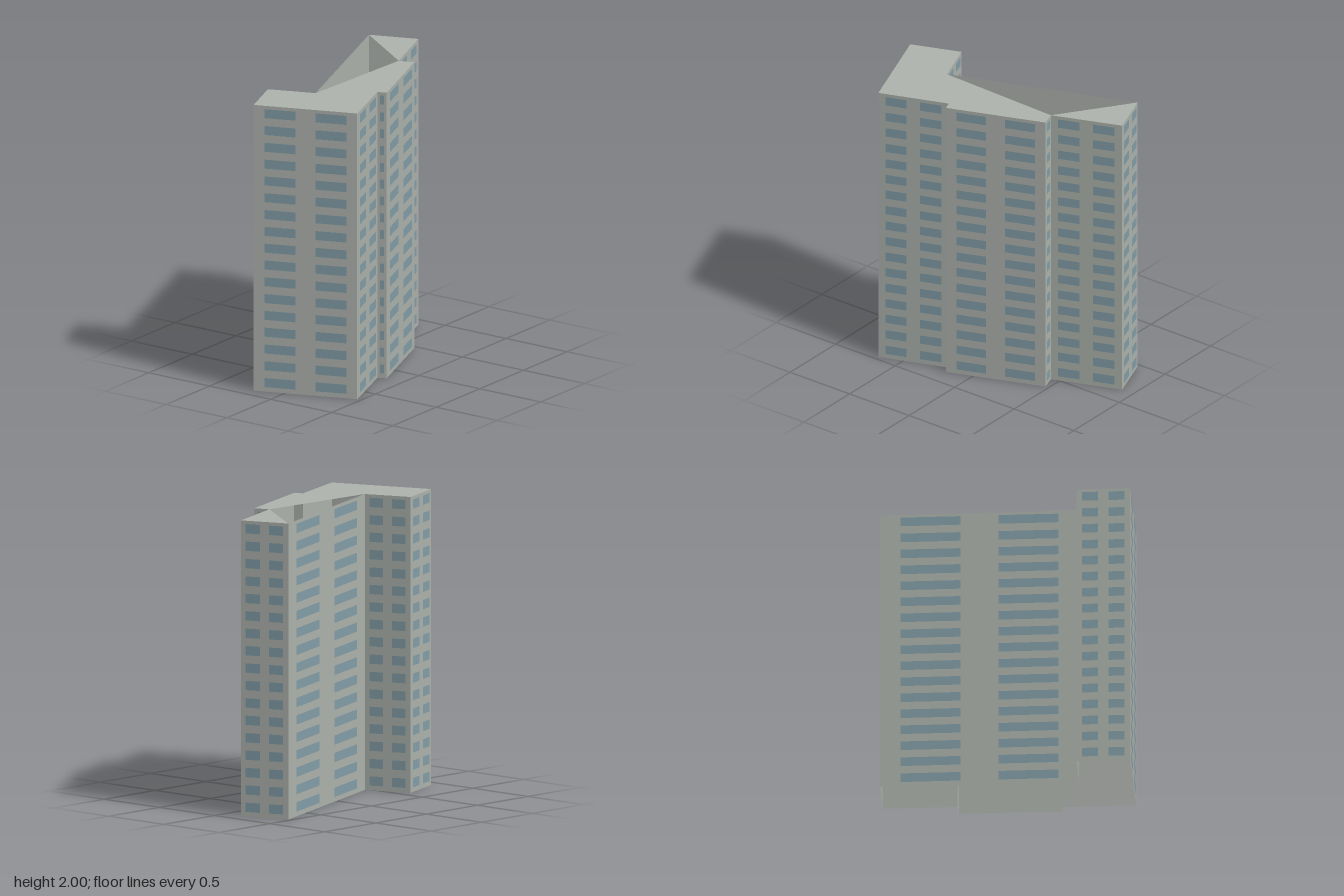
import * as THREE from 'three';
import { mergeGeometries } from 'three/addons/utils/BufferGeometryUtils.js';

const HEIGHT = 2, FLOORS = 17, PITCH = HEIGHT / FLOORS;

// Footprint corners [x, z], running along the front from -x to +x
const corners = [
  [-0.912, -0.202], [-0.664, 0.47], [-0.2, 0.304], [-0.177, 0.363], [0.474, 0.124],
  [0.44, 0.02], [0.907, -0.153], [0.79, -0.475], [-0.46, -0.017], [-0.576, -0.326],
];

// Roof slabs as corner indices; the triangle between them is an open shaft
const roofs = { mainRoof: [0, 1, 2, 3, 4, 5, 8, 9], wingRoof: [5, 6, 7] };

export function createModel() {
  const group = new THREE.Group();
  const wallMat = new THREE.MeshStandardMaterial({ color: 0xafb4ae, side: THREE.DoubleSide });
  wallMat.name = 'concrete';
  const glassMat = new THREE.MeshStandardMaterial({ color: 0x849fa9 });
  glassMat.name = 'window glass';

  // Facades: one upright panel per footprint edge, with columns of windows
  corners.forEach(([x0, z0], i) => {
    const [x1, z1] = corners[(i + 1) % corners.length];
    const length = Math.hypot(x1 - x0, z1 - z0);
    const facade = new THREE.Group();
    facade.name = `facade${i + 1}`;
    facade.position.set((x0 + x1) / 2, 0, (z0 + z1) / 2);
    facade.rotation.y = Math.atan2(z0 - z1, x1 - x0);

    const wall = new THREE.Mesh(new THREE.PlaneGeometry(length, HEIGHT).translate(0, HEIGHT / 2, 0), wallMat);
    wall.name = 'wall';

    // Narrow returns have one window per floor, the rest have two
    const narrow = length < 0.2;
    const columns = narrow ? [0] : [-0.246, 0.246];
    const width = length * (narrow ? 0.47 : 0.3);
    const panes = [];
    for (let floor = 0; floor < FLOORS; floor++) {
      for (const c of columns) {
        panes.push(new THREE.PlaneGeometry(width, 0.063).translate(c * length, floor * PITCH + 0.064, 0.003));
      }
    }
    const windows = new THREE.Mesh(mergeGeometries(panes), glassMat);
    windows.name = 'windows';
    facade.add(wall, windows);
    group.add(facade);
  });

  // Flat roof slabs
  for (const [name, ids] of Object.entries(roofs)) {
    const shape = new THREE.Shape(ids.map((k) => new THREE.Vector2(corners[k][0], -corners[k][1])));
    const roof = new THREE.Mesh(new THREE.ShapeGeometry(shape).rotateX(-Math.PI / 2), wallMat);
    roof.position.y = HEIGHT;
    roof.name = name;
    group.add(roof);
  }
  return group;
}
